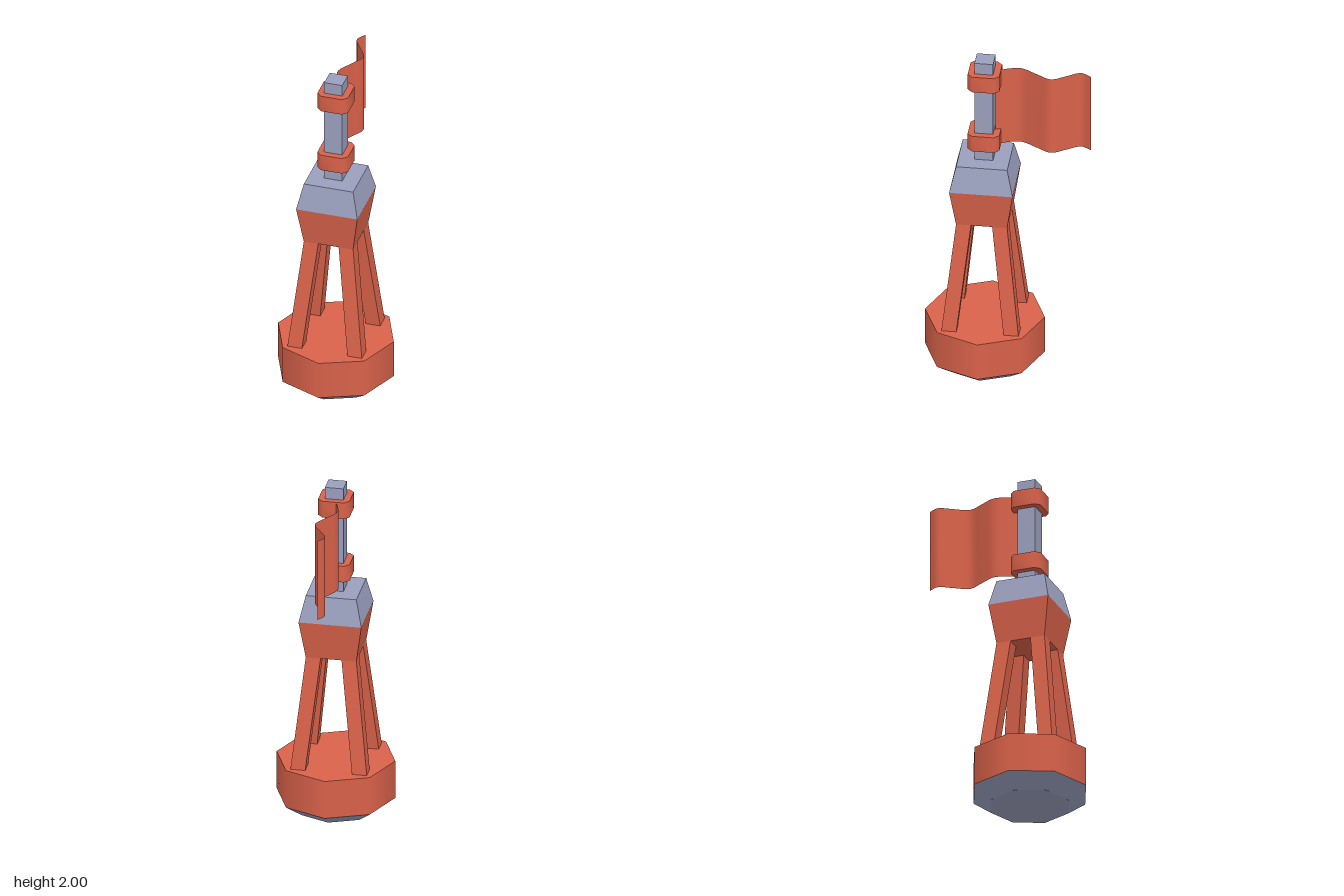
import * as THREE from 'three';
import { toCreasedNormals } from 'three/addons/utils/BufferGeometryUtils.js';

const CZ = 0.13; // z of the buoy's axis; the flag trails behind it

export function createModel() {
  const group = new THREE.Group();
  const red = new THREE.MeshStandardMaterial({ color: 0xd9624a });
  red.name = 'buoyRed';
  const grey = new THREE.MeshStandardMaterial({ color: 0x9a9fbd });
  grey.name = 'metalGrey';
  const flagRed = new THREE.MeshStandardMaterial({ color: 0xd9624a, side: THREE.DoubleSide });
  flagRed.name = 'flagRed';

  function add(name, geometry, material, y = 0, z = CZ) {
    const mesh = new THREE.Mesh(geometry, material);
    mesh.name = name;
    mesh.position.set(0, y, z);
    group.add(mesh);
    return mesh;
  }

  // Square block whose lower and upper ends have their own centre and half width
  function taperedBlock(y0, y1, h0, h1, cx0 = 0, cz0 = 0, cx1 = 0, cz1 = 0) {
    const g = new THREE.BoxGeometry(2, 1, 2).toNonIndexed();
    const p = g.attributes.position;
    for (let i = 0; i < p.count; i++) {
      const top = p.getY(i) > 0;
      const h = top ? h1 : h0;
      p.setXYZ(i,
        p.getX(i) * h + (top ? cx1 : cx0),
        top ? y1 : y0,
        p.getZ(i) * h + (top ? cz1 : cz0));
    }
    g.computeVertexNormals();
    return g;
  }

  // Eight-sided float with a tapered keel
  add('float', new THREE.CylinderGeometry(0.34, 0.34, 0.23, 8), red, 0.19);
  add('keel', new THREE.CylinderGeometry(0.34, 0.235, 0.075, 8), grey, 0.0375);

  // Four legs leaning inwards
  for (const sx of [-1, 1]) {
    for (const sz of [-1, 1]) {
      add('leg', taperedBlock(0.3, 0.98, 0.0425, 0.0425,
        sx * 0.177, sz * 0.177, sx * 0.102, sz * 0.102), red);
    }
  }

  // Head and its cap
  add('head', taperedBlock(0.975, 1.205, 0.145, 0.18), red);
  add('headCap', taperedBlock(1.205, 1.36, 0.18, 0.145), grey);

  // Mast
  add('mast', new THREE.BoxGeometry(0.106, 0.65, 0.106), grey, 1.675);

  // Chamfered collars around the mast
  const a = 0.09, b = 0.062;
  const outline = new THREE.Shape(
    [[a, -b], [a, b], [b, a], [-b, a], [-a, b], [-a, -b], [-b, -a], [b, -a]]
      .map(([x, y]) => new THREE.Vector2(x, y)));
  for (const y of [1.435, 1.83]) {
    const g = new THREE.ExtrudeGeometry(outline, { depth: 0.1, bevelEnabled: false });
    g.rotateX(-Math.PI / 2);
    add('collar', toCreasedNormals(g, 0.9), red, y);
  }

  // Waving flag: a flat sheet bent along a curve in plan
  const wave = new THREE.CatmullRomCurve3(
    [[0, 0.07], [-0.035, 0], [-0.048, -0.07], [0, -0.16], [0.046, -0.25],
      [0, -0.335], [-0.042, -0.41], [-0.01, -0.47]]
      .map(([x, z]) => new THREE.Vector3(x, 0, z)));
  const flag = new THREE.PlaneGeometry(1, 0.49, 32, 1);
  const p = flag.attributes.position;
  for (let i = 0; i < p.count; i++) {
    const c = wave.getPoint(p.getX(i) + 0.5);
    p.setX(i, c.x);
    p.setZ(i, c.z);
  }
  flag.computeVertexNormals();
  add('flag', flag, flagRed, 1.68, 0);

  return group;
}
